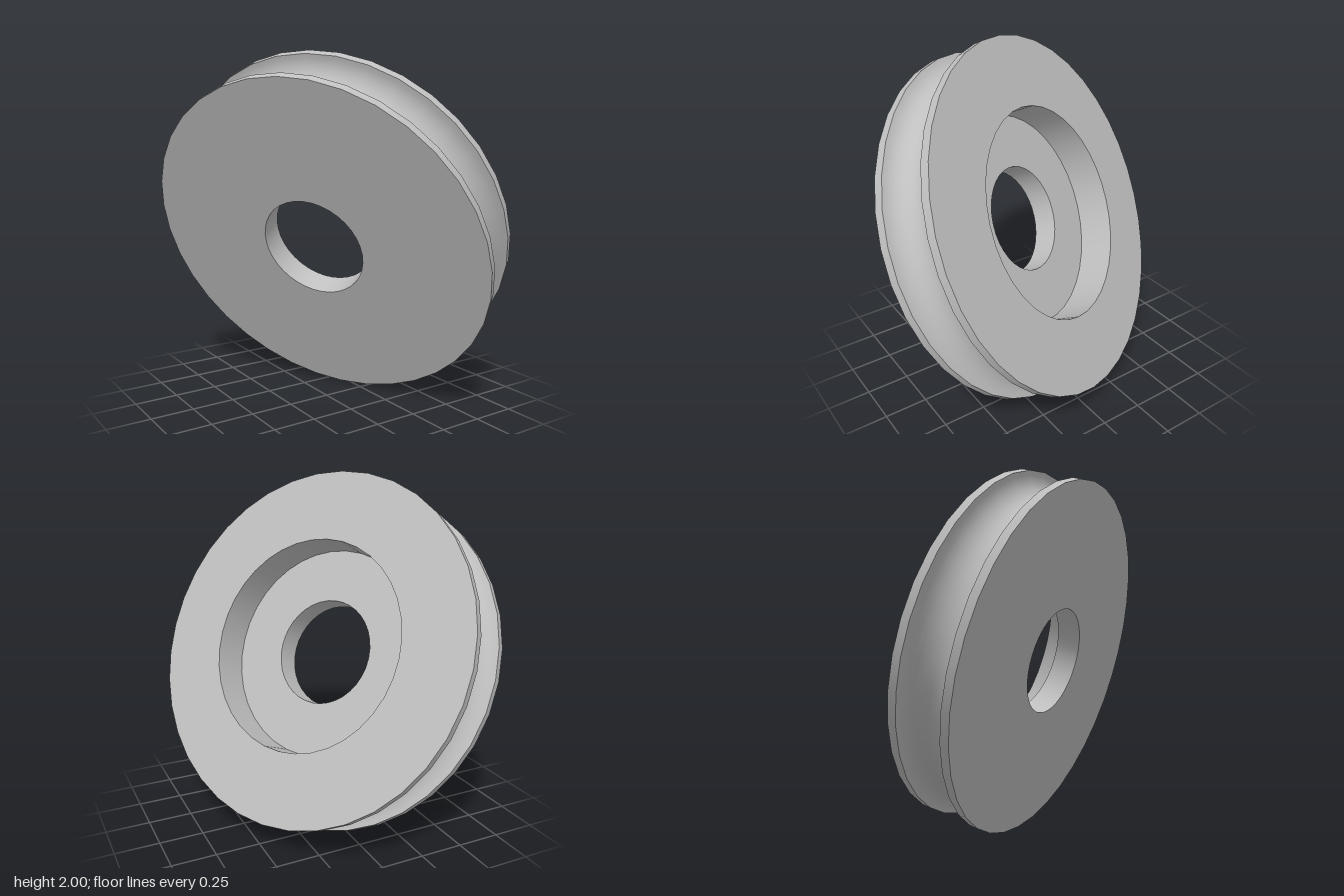
import * as THREE from 'three';

const SIDES = 36;
const R = 1.018;       // outer radius
const H = 0.18;        // half thickness
const GROOVE = 0.13;   // rope groove radius
const BORE = 0.306;    // centre hole radius
const RECESS = 0.611;  // counterbore radius
const FLOOR = -0.036;  // counterbore floor height

export function createModel() {
  const model = new THREE.Group();
  const steel = new THREE.MeshStandardMaterial({ color: 0xbfbfbf });
  steel.name = 'grey steel';

  const wheel = new THREE.Group();
  wheel.name = 'pulleyWheel';

  // Each piece is turned on its own, so edges between pieces stay sharp.
  const turn = (name, ...points) => {
    const profile = points.map(([r, y]) => new THREE.Vector2(r, y));
    const mesh = new THREE.Mesh(new THREE.LatheGeometry(profile, SIDES), steel);
    mesh.name = name;
    wheel.add(mesh);
  };

  // Half-round groove around the rim
  const arc = [];
  for (let i = 0; i <= 16; i++) {
    const a = -Math.PI / 2 + (Math.PI * i) / 16;
    arc.push([R - GROOVE * Math.cos(a), GROOVE * Math.sin(a)]);
  }

  turn('plainFace', [BORE, -H], [R, -H]);
  turn('plainFlangeRim', [R, -H], [R, -GROOVE]);
  turn('ropeGroove', ...arc);
  turn('recessedFlangeRim', [R, GROOVE], [R, H]);
  turn('recessedFace', [R, H], [RECESS, H]);
  turn('recessWall', [RECESS, H], [RECESS, FLOOR]);
  turn('recessFloor', [RECESS, FLOOR], [BORE, FLOOR]);
  turn('centreBore', [BORE, FLOOR], [BORE, -H]);

  // Tilt the wheel axis
  const axis = new THREE.Vector3(0.803, 0.4215, -0.4215).normalize();
  wheel.quaternion.setFromUnitVectors(new THREE.Vector3(0, 1, 0), axis);
  wheel.position.y = 1;
  model.add(wheel);
  return model;
}
